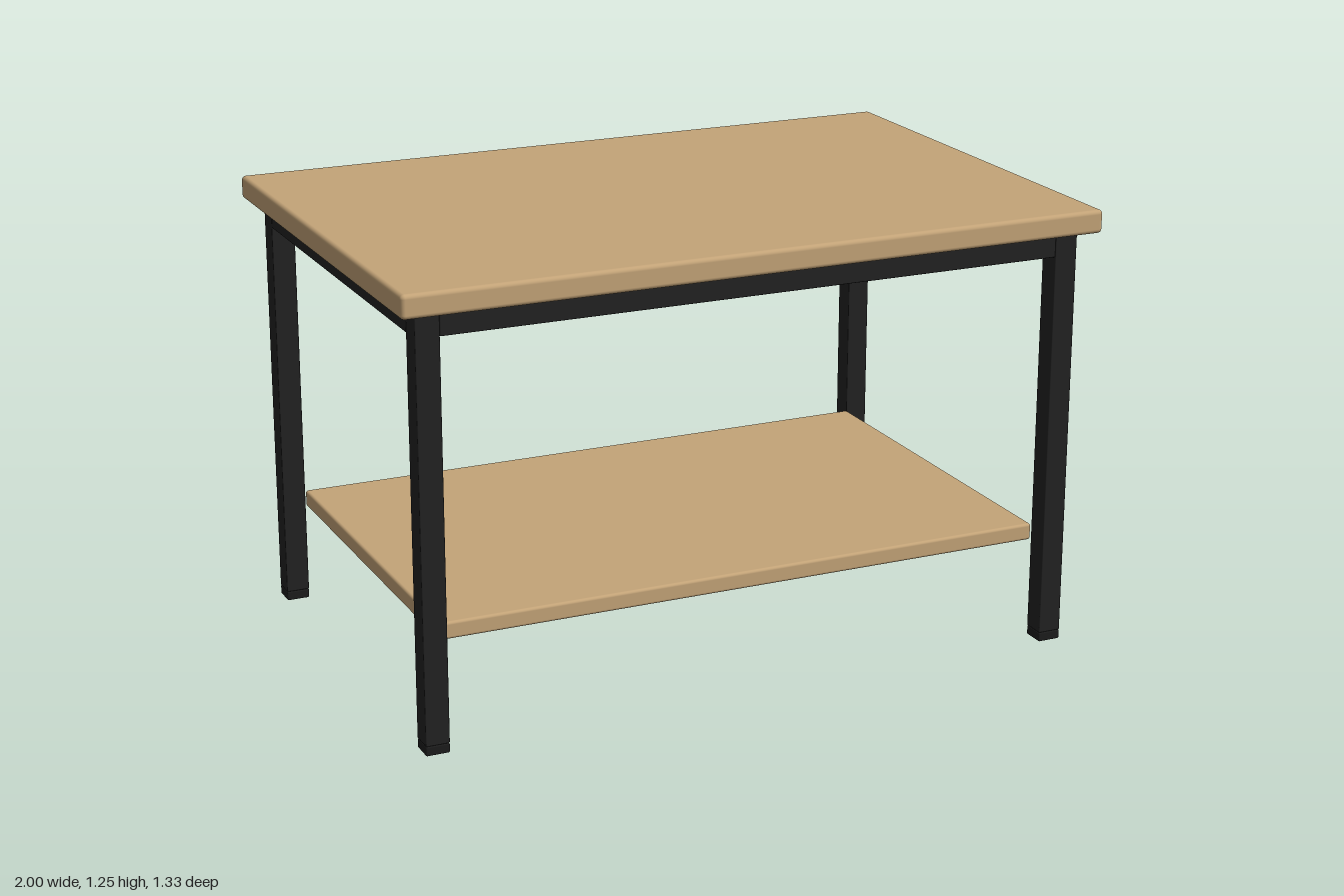
import * as THREE from 'three';
import { RoundedBoxGeometry } from 'three/addons/geometries/RoundedBoxGeometry.js';

export function createModel() {
  const table = new THREE.Group();
  table.name = 'table';

  const wood = new THREE.MeshStandardMaterial({ color: 0xc4a478 });
  wood.name = 'light wood';
  const metal = new THREE.MeshStandardMaterial({ color: 0x222222 });
  metal.name = 'black metal';
  const rubber = new THREE.MeshStandardMaterial({ color: 0x1c1c1c });
  rubber.name = 'dark rubber';

  // Rounded block centred on (x, z) and spanning bottom to top
  function block(name, material, width, depth, bottom, top, x, z, radius) {
    const geometry = new RoundedBoxGeometry(width, top - bottom, depth, 3, radius);
    const mesh = new THREE.Mesh(geometry, material);
    mesh.name = name;
    mesh.position.set(x, (bottom + top) / 2, z);
    table.add(mesh);
  }

  const LEG = 0.066; // square tube width
  const LEG_X = 0.917;
  const LEG_Z = 0.586;
  const TOP_BOTTOM = 1.19;
  const RAIL_BOTTOM = 1.124;
  const spanX = 2 * LEG_X - LEG;
  const spanZ = 2 * LEG_Z - LEG;

  // Boards
  block('tableTop', wood, 2, 1.334, TOP_BOTTOM, 1.255, 0, 0, 0.012);
  block('lowerShelf', wood, spanX, spanZ, 0.286, 0.334, 0, 0, 0.008);

  // Legs with foot caps
  for (const x of [-LEG_X, LEG_X]) {
    for (const z of [-LEG_Z, LEG_Z]) {
      const label = (z > 0 ? 'front' : 'back') + (x > 0 ? 'Left' : 'Right');
      block(label + 'Leg', metal, LEG, LEG, 0.027, TOP_BOTTOM, x, z, 0.003);
      block(label + 'Foot', rubber, LEG, LEG, 0, 0.027, x, z, 0.004);
    }
  }

  // Rails under the top, running between the legs
  for (const side of [-1, 1]) {
    block(side > 0 ? 'frontRail' : 'backRail', metal, spanX, LEG, RAIL_BOTTOM, TOP_BOTTOM, 0, side * LEG_Z, 0.003);
    block(side > 0 ? 'leftRail' : 'rightRail', metal, LEG, spanZ, RAIL_BOTTOM, TOP_BOTTOM, side * LEG_X, 0, 0.003);
  }

  return table;
}
